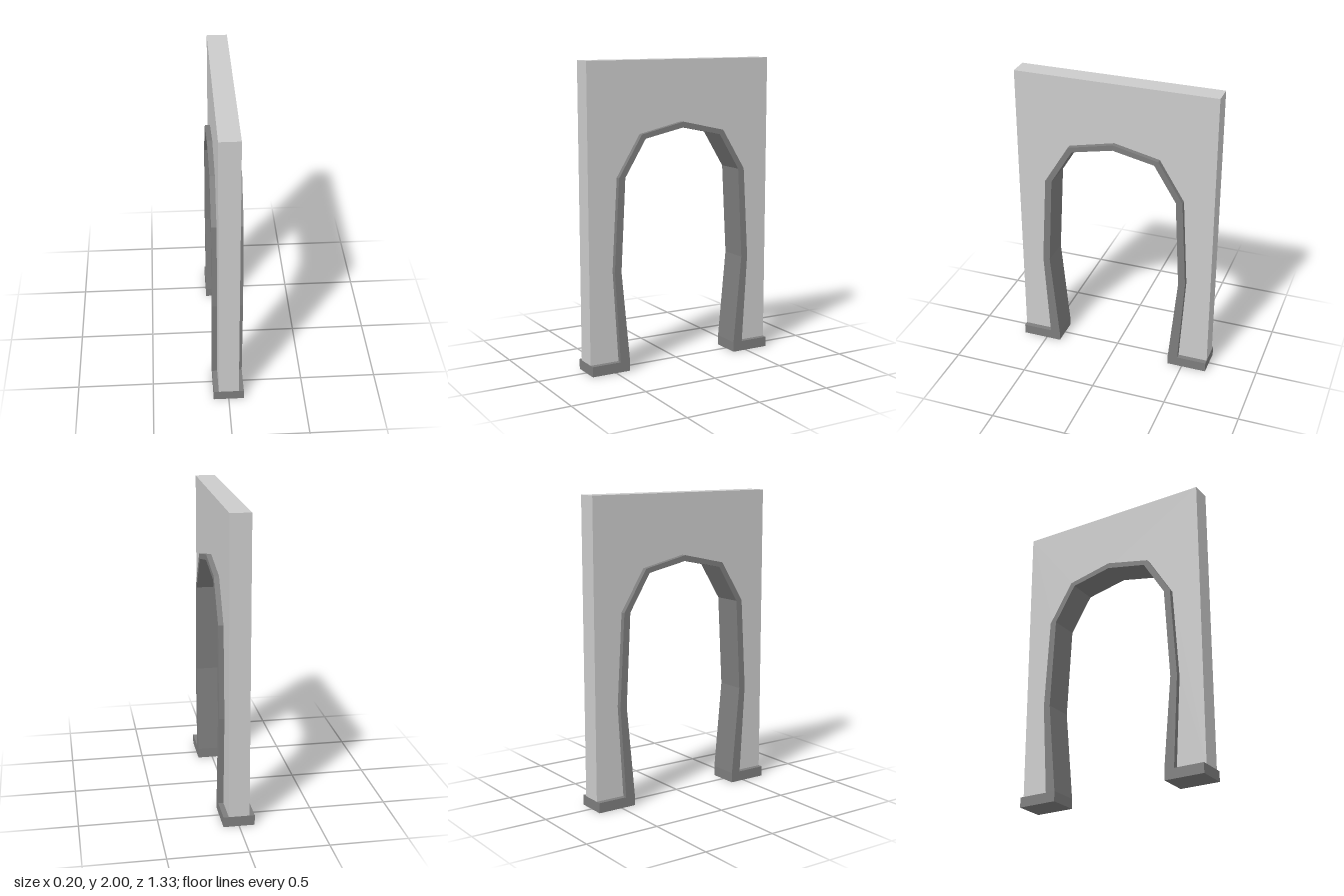
import * as THREE from 'three';

const HALF_WIDTH = 0.667;
const HEIGHT = 2;
const FOOT = 0.067;

// Half outlines of the trim, from the floor to the apex: [z, y]
const OUTER = [[0.467, FOOT], [0.503, 0.667], [0.467, 1.268], [0.302, 1.535], [0, 1.602]];
const INNER = [[0.4, 0], [0.4, FOOT], [0.456, 0.663], [0.423, 1.268], [0.276, 1.507], [0, 1.565]];

// Mirror a half outline into a full arch, running from +z over the apex to -z
function fullArch(half) {
  const mirrored = half.slice(0, -1).reverse().map(([z, y]) => [-z, y]);
  return [...half, ...mirrored];
}

// Extrude a z/y outline evenly to both sides of x = 0
function slab(name, outline, thickness, color) {
  const shape = new THREE.Shape(outline.map(([z, y]) => new THREE.Vector2(z, y)));
  const geometry = new THREE.ExtrudeGeometry(shape, { depth: thickness, bevelEnabled: false });
  geometry.translate(0, 0, -thickness / 2);
  geometry.rotateY(-Math.PI / 2);
  const mesh = new THREE.Mesh(geometry, new THREE.MeshStandardMaterial({ color }));
  mesh.name = name;
  return mesh;
}

export function createModel() {
  const model = new THREE.Group();
  model.name = 'archway';
  const outer = fullArch(OUTER);
  const inner = fullArch(INNER);

  // Wall panel around the opening, standing on the feet
  model.add(slab('wall', [
    ...outer,
    [-HALF_WIDTH, FOOT], [-HALF_WIDTH, HEIGHT], [HALF_WIDTH, HEIGHT], [HALF_WIDTH, FOOT],
  ], 0.133, 0xcccccc));

  // Raised arch trim running into a plinth foot on each side
  model.add(slab('archTrim', [
    ...inner,
    [-HALF_WIDTH, 0], [-HALF_WIDTH, FOOT],
    ...outer.slice().reverse(),
    [HALF_WIDTH, FOOT], [HALF_WIDTH, 0],
  ], 0.2, 0x7d7d7d));

  return model;
}
